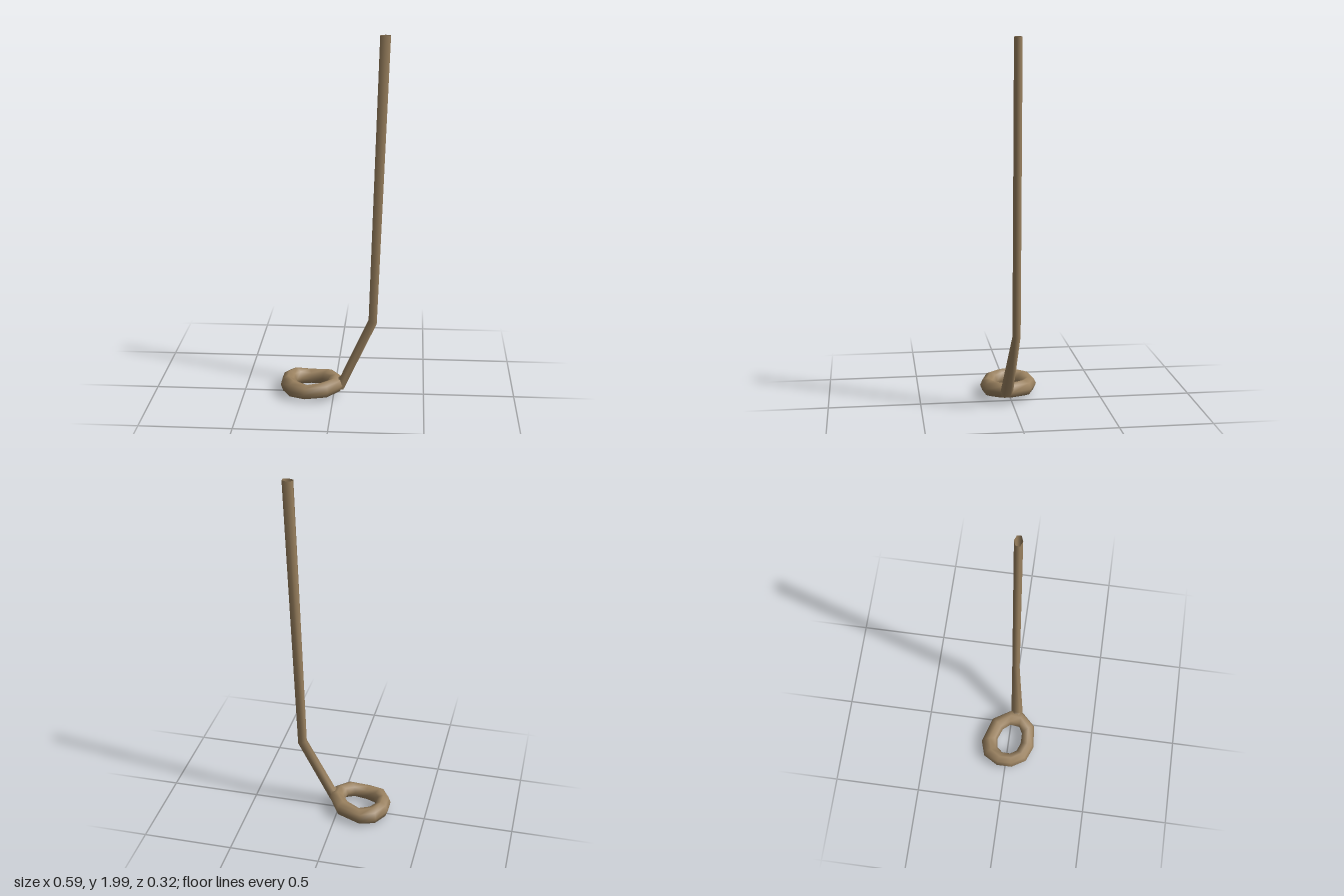
import * as THREE from 'three';

// Skin a tube over cross-sections {c: centre, u, v: half axes}
function loft(sections, sides, phase, closed) {
  const pos = [], index = [], n = sections.length;
  for (const { c, u, v } of sections) {
    for (let j = 0; j < sides; j++) {
      const a = phase + (j / sides) * Math.PI * 2;
      const p = c.clone().addScaledVector(u, Math.cos(a)).addScaledVector(v, Math.sin(a));
      pos.push(p.x, p.y, p.z);
    }
  }
  for (let i = 0; i < (closed ? n : n - 1); i++) {
    for (let j = 0; j < sides; j++) {
      const k = (j + 1) % sides, r = i * sides, s = ((i + 1) % n) * sides;
      index.push(r + j, r + k, s + j, r + k, s + k, s + j);
    }
  }
  const g = new THREE.BufferGeometry();
  g.setAttribute('position', new THREE.Float32BufferAttribute(pos, 3));
  g.setIndex(index);
  g.computeVertexNormals();
  return g;
}

const vec = (x, y, z) => new THREE.Vector3(x, y, z);

export function createModel() {
  const group = new THREE.Group();
  const wood = new THREE.MeshStandardMaterial({ color: 0x9b8260, side: THREE.DoubleSide });
  wood.name = 'brown wood';

  // Irregular loop at the foot: outer x, z, inner x, z, centre height, half height
  const loop = [
    [-0.295, -0.048, -0.212, -0.027, 0.061, 0.051],
    [-0.245, -0.132, -0.185, -0.058, 0.058, 0.05],
    [-0.155, -0.16, -0.13, -0.067, 0.052, 0.042],
    [-0.01, -0.113, -0.07, -0.043, 0.065, 0.045],
    [0.055, -0.005, -0.035, 0.0, 0.071, 0.043],
    [0.05, 0.065, -0.042, 0.055, 0.071, 0.043],
    [-0.025, 0.145, -0.08, 0.077, 0.065, 0.045],
    [-0.155, 0.157, -0.14, 0.077, 0.053, 0.042],
    [-0.245, 0.122, -0.19, 0.058, 0.058, 0.05],
    [-0.295, 0.04, -0.213, 0.022, 0.061, 0.051],
  ].map(([ox, oz, ix, iz, y, h]) => ({
    c: vec((ox + ix) / 2, y, (oz + iz) / 2),
    u: vec((ox - ix) / 2, 0, (oz - iz) / 2),
    v: vec(0, h, 0),
  }));
  const ring = new THREE.Mesh(loft(loop, 8, 0, true), wood);
  ring.name = 'footLoop';
  group.add(ring);

  // Bent shaft, open at the top
  const rod = [
    { c: vec(0.02, 0.072, 0.03), u: vec(0.008, -0.035, 0), v: vec(0, 0, -0.034) },
    { c: vec(0.046, 0.076, 0.03), u: vec(0.01, -0.038, 0), v: vec(0, 0, -0.035) },
    { c: vec(0.213, 0.432, -0.001), u: vec(0.026, -0.01, 0), v: vec(0, 0, -0.022) },
    { c: vec(0.265, 2, -0.002), u: vec(0.032, 0, 0), v: vec(0, 0, -0.022) },
  ];
  const shaft = new THREE.Mesh(loft(rod, 6, Math.PI / 6, false), wood);
  shaft.name = 'shaft';
  group.add(shaft);

  return group;
}
